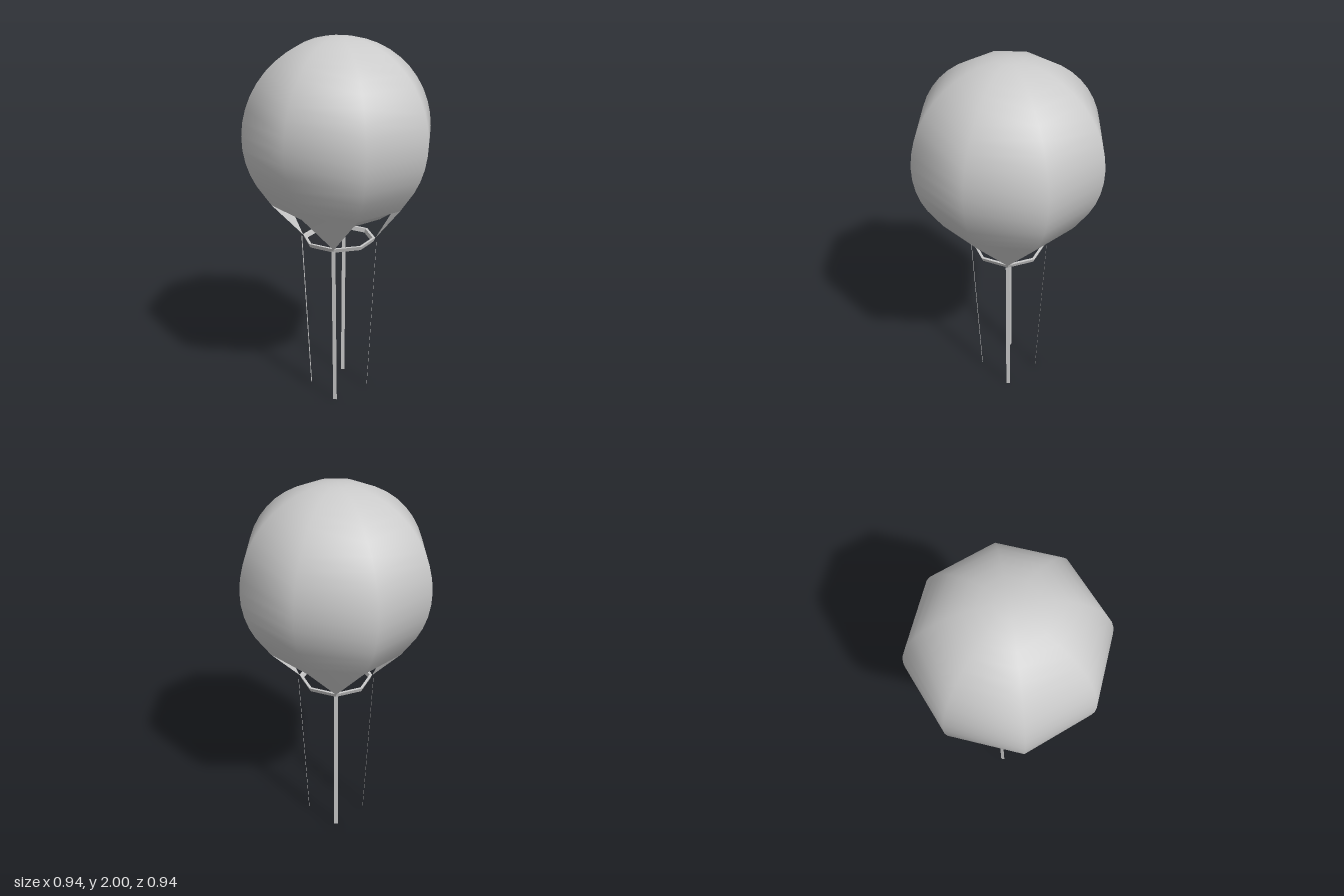
import * as THREE from 'three';

const SIDES = 8;
const CENTRE = 1.5;

// Octagonal skin: rings from crown to hem, then four flaps pointing down to the hoop
function coverGeometry() {
  const rings = 17, hem = 1.14;
  const pos = [0, 2, 0], idx = [];
  const end = Math.acos((hem - CENTRE) / 0.5);
  for (let i = 1; i <= rings; i++) {
    const t = (end * i) / rings;
    const r = i === rings ? 0.364 : 0.507 * Math.sin(t);
    for (let k = 0; k < SIDES; k++) {
      const a = ((k + 0.5) / SIDES) * Math.PI * 2;
      pos.push(r * Math.sin(a), CENTRE + 0.5 * Math.cos(t), r * Math.cos(a));
    }
  }
  const at = (i, k) => 1 + (i - 1) * SIDES + (k % SIDES);
  for (let k = 0; k < SIDES; k++) {
    idx.push(0, at(1, k), at(1, k + 1));
    for (let i = 1; i < rings; i++) {
      idx.push(at(i, k), at(i + 1, k), at(i + 1, k + 1));
      idx.push(at(i, k), at(i + 1, k + 1), at(i, k + 1));
    }
  }
  for (let k = 0; k < SIDES; k += 2) {
    const a = ((k + 1) / SIDES) * Math.PI * 2;
    const tip = pos.length / 3;
    pos.push(0.198 * Math.sin(a), 0.93, 0.198 * Math.cos(a));
    idx.push(at(rings, k), tip, at(rings, k + 1));
  }
  const g = new THREE.BufferGeometry();
  g.setAttribute('position', new THREE.Float32BufferAttribute(pos, 3));
  g.setIndex(idx);
  g.computeVertexNormals();
  return g;
}

export function createModel() {
  const model = new THREE.Group();
  model.name = 'balloon';
  const grey = new THREE.MeshStandardMaterial({ color: 0xcccccc });
  const thin = new THREE.MeshStandardMaterial({ color: 0xcccccc, side: THREE.DoubleSide });
  const faceted = new THREE.MeshStandardMaterial({ color: 0xcccccc, flatShading: true });
  const add = (name, geometry, material, parent = model) => {
    const mesh = new THREE.Mesh(geometry, material);
    mesh.name = name;
    parent.add(mesh);
    return mesh;
  };

  // Gas bag, seen through the openings between the flaps
  const bag = add('gasBag', new THREE.SphereGeometry(1, SIDES, 18, Math.PI / SIDES), grey);
  bag.scale.set(0.496, 0.49, 0.496);
  bag.position.y = CENTRE;

  // Outer cover with flaps
  add('cover', coverGeometry(), thin);

  // Hoop below the flaps, with its corners on the diagonals
  const profile = [[0.178, 0.912], [0.19, 0.912], [0.199, 0.934], [0.184, 0.934], [0.178, 0.912]]
    .map(([r, y]) => new THREE.Vector2(r, y));
  add('hoop', new THREE.LatheGeometry(profile, SIDES), faceted);

  // Four flat straps hanging from the hoop and leaning slightly inwards
  const top = 0.925, rTop = 0.206, rBottom = 0.163;
  for (let i = 0; i < 4; i++) {
    const arm = new THREE.Group();
    arm.name = 'strapArm';
    arm.rotation.y = Math.PI / 4 + (i * Math.PI) / 2;
    const strap = add('strap', new THREE.PlaneGeometry(0.021, Math.hypot(top, rTop - rBottom)), thin, arm);
    strap.position.set(0, top / 2, (rTop + rBottom) / 2);
    strap.rotation.x = Math.atan2(rTop - rBottom, top);
    model.add(arm);
  }
  return model;
}
